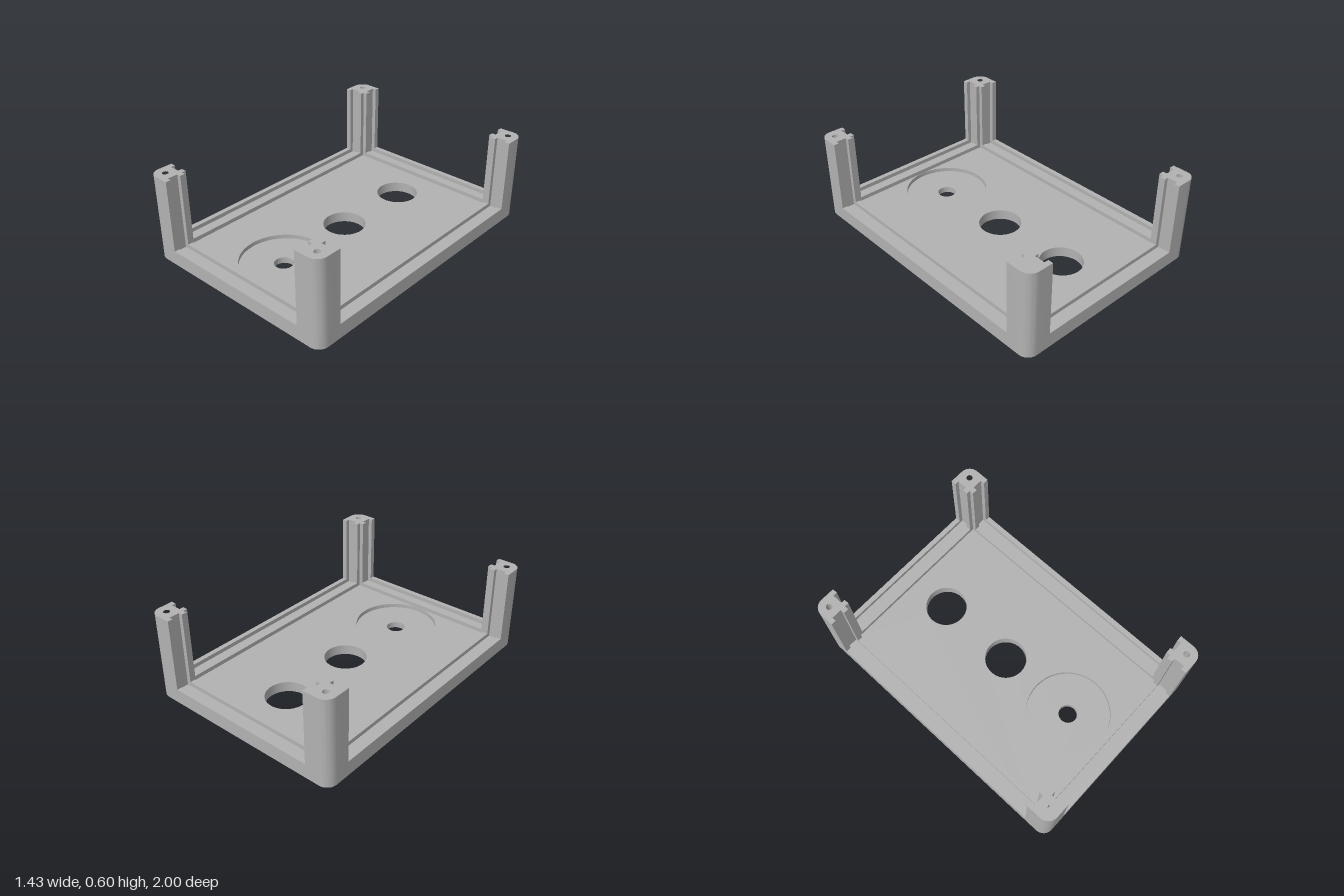
import * as THREE from 'three';
import { toCreasedNormals } from 'three/addons/utils/BufferGeometryUtils.js';

const HX = 0.7143, HZ = 1;       // half width and half length
const R = 0.0714;                // corner radius, also screw inset
const FLOOR = 0.0714, RIM = 0.1, TOP = 0.6, POCKET = 0.043;
const WALL = 0.1429;             // wall thickness
const IX = HX - WALL, IZ = HZ - WALL;
const G0 = 0.0357, G1 = 0.1071;  // panel groove, measured inward from the outside
const TAB = 0.0286;              // how far posts reach past the inner corner

const material = new THREE.MeshStandardMaterial({ color: 0xb2b2b2 });
material.name = 'grey plastic';

// Shapes are drawn as (x, -z) and raised from y0 to y1
function slab(name, shape, y0, y1) {
  const geo = new THREE.ExtrudeGeometry(shape, { depth: y1 - y0, bevelEnabled: false, curveSegments: 24 });
  geo.rotateX(-Math.PI / 2);
  geo.translate(0, y0, 0);
  const mesh = new THREE.Mesh(toCreasedNormals(geo, 0.6), material);
  mesh.name = name;
  return mesh;
}

function outline() {
  const s = new THREE.Shape();
  s.absarc(HX - R, HZ - R, R, 0, Math.PI / 2);
  s.absarc(-HX + R, HZ - R, R, Math.PI / 2, Math.PI);
  s.absarc(-HX + R, -HZ + R, R, Math.PI, Math.PI * 1.5);
  s.absarc(HX - R, -HZ + R, R, Math.PI * 1.5, Math.PI * 2);
  s.closePath();
  return s;
}

const circle = (x, z, r) => new THREE.Path().absarc(x, -z, r, 0, Math.PI * 2, true);

function rect(x0, x1, z0, z1) {
  return new THREE.Path([[x0, z0], [x0, z1], [x1, z1], [x1, z0]].map(([x, z]) => new THREE.Vector2(x, -z)));
}

const screwHole = (sx, sz) => circle(sx * (HX - R), sz * (HZ - R), 0.0205);

// Corner post cross-section with a panel slot on both inner sides
function postShape(sx, sz) {
  const px = IX - TAB, pz = IZ - TAB;
  const pts = [[px, HZ]];
  for (let i = 0; i <= 12; i++) {
    const a = Math.PI / 2 * (1 - i / 12);
    pts.push([HX - R + R * Math.cos(a), HZ - R + R * Math.sin(a)]);
  }
  pts.push(
    [HX, pz], [HX - G0, pz], [HX - G0, IZ], [HX - G1, IZ], [HX - G1, pz], [IX, pz],
    [IX, IZ], [px, IZ], [px, HZ - G1], [IX, HZ - G1], [IX, HZ - G0], [px, HZ - G0]
  );
  const s = new THREE.Shape(pts.map(([x, z]) => new THREE.Vector2(sx * x, -sz * z)));
  s.holes.push(screwHole(sx, sz));
  return s;
}

export function createModel() {
  const group = new THREE.Group();
  group.name = 'enclosureBase';
  const corners = [[1, 1], [1, -1], [-1, 1], [-1, -1]];
  const bigHoles = () => [circle(0, -0.5714, WALL), circle(0, 0, WALL)];

  // Floor: lower layer with the small hole, upper layer with the round pocket
  const lower = outline();
  lower.holes.push(...bigHoles(), circle(0, 0.5714, 0.063));
  group.add(slab('floorBottom', lower, 0, POCKET));

  const upper = outline();
  upper.holes.push(...bigHoles(), circle(0, 0.5714, 0.285));
  group.add(slab('floorTop', upper, POCKET, FLOOR));

  // Rim with a panel groove along every side
  const rim = outline();
  rim.holes.push(rect(-IX, IX, -IZ, IZ));
  for (const s of [1, -1]) {
    const [x0, x1] = [s * (HX - G1), s * (HX - G0)].sort((a, b) => a - b);
    const [z0, z1] = [s * (HZ - G1), s * (HZ - G0)].sort((a, b) => a - b);
    rim.holes.push(rect(x0, x1, -IZ, IZ), rect(-IX, IX, z0, z1));
  }
  for (const [sx, sz] of corners) rim.holes.push(screwHole(sx, sz));
  group.add(slab('groovedRim', rim, FLOOR, RIM));

  // Corner posts
  for (const [sx, sz] of corners) {
    const name = (sz > 0 ? 'front' : 'back') + (sx > 0 ? 'Left' : 'Right') + 'Post';
    group.add(slab(name, postShape(sx, sz), RIM, TOP));
  }
  return group;
}
